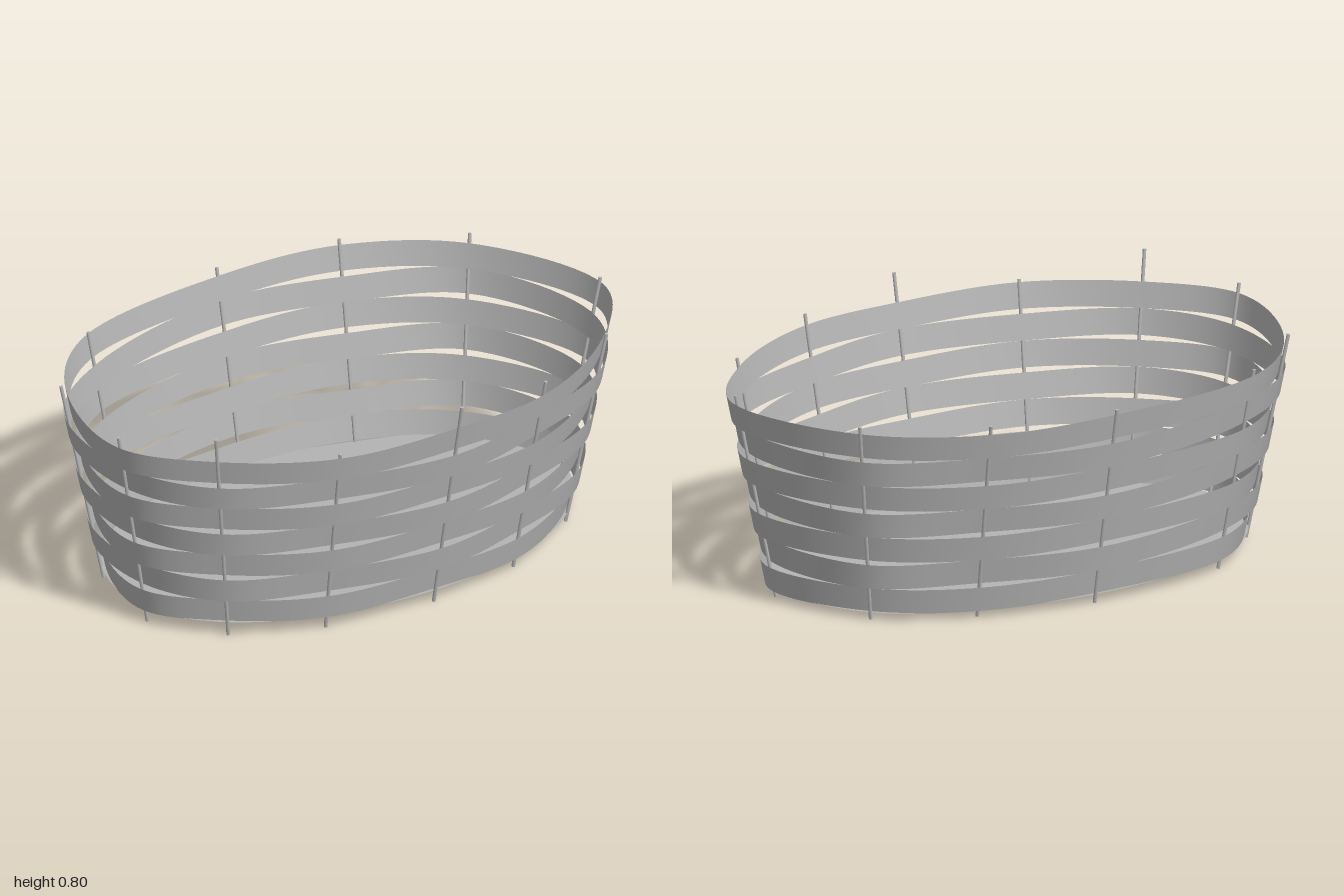
import * as THREE from 'three';

const grey = new THREE.MeshStandardMaterial({ color: 0xb4b4b4, side: THREE.DoubleSide });
grey.name = 'plain grey';

// Stakes in order around the oval: bottom x, z, then top x, y, z
const stakes = [
  [0, 0.53, 0, 0.785, 0.69],
  [0.35, 0.485, 0.385, 0.73, 0.62],
  [0.67, 0.33, 0.77, 0.70, 0.42],
  [0.85, 0.05, 0.98, 0.70, 0.09],
  [0.71, -0.31, 0.81, 0.70, -0.405],
  [0.40, -0.47, 0.44, 0.70, -0.62],
  [0, -0.55, 0, 0.70, -0.69],
  [-0.53, -0.46, -0.60, 0.70, -0.57],
  [-0.78, -0.23, -0.89, 0.70, -0.315],
  [-0.84, 0.10, -0.98, 0.735, 0.135],
  [-0.68, 0.33, -0.80, 0.80, 0.43],
  [-0.39, 0.47, -0.43, 0.71, 0.61],
].map(([bx, bz, tx, ty, tz]) => ({
  bottom: new THREE.Vector3(bx, 0, bz),
  top: new THREE.Vector3(tx, ty, tz),
}));

const SEGMENTS = 120;
const WEAVE = 0.012;

// Closed oval at a height, passing outside and inside alternate stakes.
// The whole weave leans up slightly to the left front.
function ovalPoints(height, weave) {
  const points = stakes.map(({ bottom, top }, i) => {
    const p = bottom.clone().lerp(top, height / top.y);
    const outward = new THREE.Vector3(p.x / 0.8, 0, p.z / 0.35).normalize();
    p.addScaledVector(outward, i % 2 ? weave : -weave);
    p.y = height - 0.012 * p.x + 0.012 * p.z;
    return p;
  });
  const curve = new THREE.CatmullRomCurve3(points, true);
  return Array.from({ length: SEGMENTS }, (_, i) => curve.getPoint(i / SEGMENTS));
}

function surface(points, index) {
  const geometry = new THREE.BufferGeometry().setFromPoints(points);
  geometry.setIndex(index);
  geometry.computeVertexNormals();
  return geometry;
}

// Flat strip running round the basket
function bandGeometry(low, high, weave) {
  const points = [...ovalPoints(low, weave), ...ovalPoints(high, weave)];
  const index = [];
  for (let i = 0; i < SEGMENTS; i++) {
    const j = (i + 1) % SEGMENTS;
    index.push(i, j, j + SEGMENTS, i, j + SEGMENTS, i + SEGMENTS);
  }
  return surface(points, index);
}

// Oval floor as a fan, facing up
function floorGeometry(height) {
  const points = [...ovalPoints(height, 0), new THREE.Vector3(0, height, 0)];
  const index = [];
  for (let i = 0; i < SEGMENTS; i++) index.push(SEGMENTS, i, (i + 1) % SEGMENTS);
  return surface(points, index);
}

export function createModel() {
  const model = new THREE.Group();
  model.name = 'wovenBasket';
  const add = (name, geometry) => {
    const mesh = new THREE.Mesh(geometry, grey);
    mesh.name = name;
    model.add(mesh);
    return mesh;
  };

  // Floor
  add('floor', floorGeometry(0.036));

  // Seven woven bands, from the rim down
  for (let i = 0; i < 7; i++) {
    const high = 0.685 - i * 0.0942;
    add(`band${i + 1}`, bandGeometry(high - 0.086, high, i % 2 ? -WEAVE : WEAVE));
  }

  // Upright stakes leaning outward
  const up = new THREE.Vector3(0, 1, 0);
  stakes.forEach(({ bottom, top }, i) => {
    const along = top.clone().sub(bottom);
    const stake = add(`stake${i + 1}`, new THREE.CylinderGeometry(0.006, 0.006, along.length(), 8));
    stake.position.copy(bottom).add(top).multiplyScalar(0.5);
    stake.quaternion.setFromUnitVectors(up, along.normalize());
  });

  return model;
}
